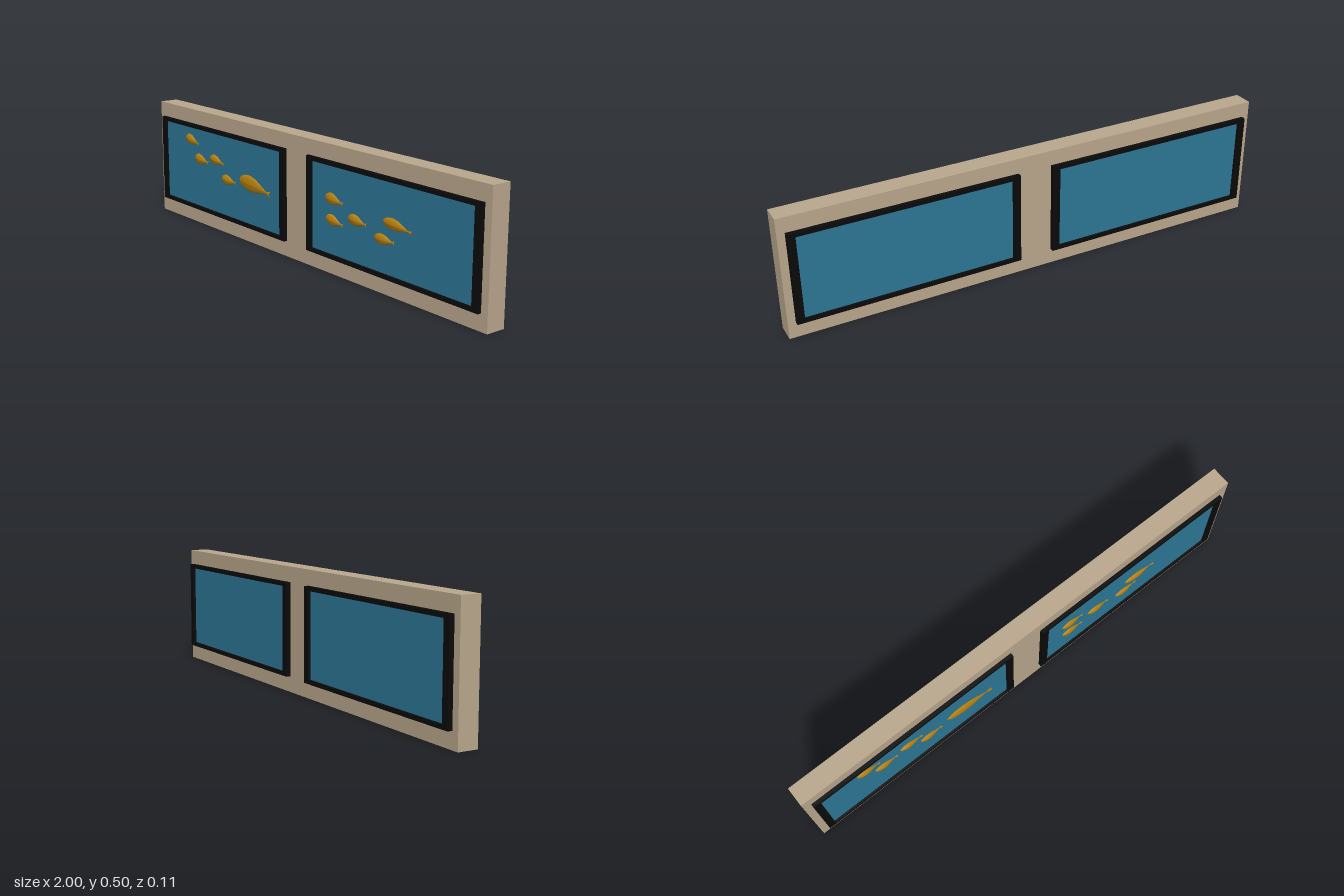
import * as THREE from 'three';

const material = (name, color, flatShading = false) => {
  const m = new THREE.MeshStandardMaterial({ color, flatShading });
  m.name = name;
  return m;
};

export function createModel() {
  const model = new THREE.Group();
  model.name = 'aquariumWall';
  const stone = material('stone', 0xbaa78d);
  const black = material('frameBlack', 0x0a0a0a);
  const water = material('waterBlue', 0x2d7796);
  const gold = material('fishGold', 0xb8820f);

  const add = (name, geometry, mat, x, y, z) => {
    const mesh = new THREE.Mesh(geometry, mat);
    mesh.name = name;
    mesh.position.set(x, y, z);
    model.add(mesh);
    return mesh;
  };

  // Wall slab
  add('wall', new THREE.BoxGeometry(2, 0.495, 0.079), stone, 0, 0.2475, 0.0015);

  // Rectangular border with an open middle
  const W = 0.9, H = 0.371, B = 0.03, V = 0.016;
  const rect = (path, w, h) => path.moveTo(-w / 2, -h / 2).lineTo(w / 2, -h / 2)
    .lineTo(w / 2, h / 2).lineTo(-w / 2, h / 2).closePath();
  const outline = rect(new THREE.Shape(), W, H);
  outline.holes.push(rect(new THREE.Path(), W - 2 * B, H - 2 * V));
  const frame = (depth) => new THREE.ExtrudeGeometry(outline, { depth, bevelEnabled: false });

  // Two tanks, each with a frame and pane on the front and the back
  for (const side of [-1, 1]) {
    const x = side * 0.52, y = 0.2485;
    const label = side > 0 ? 'left' : 'right';
    add(label + 'FrontFrame', frame(0.015), black, x, y, 0.041);
    add(label + 'BackFrame', frame(0.019), black, x, y, -0.057);
    const pane = new THREE.BoxGeometry(W - 2 * B, H - 2 * V, 0.009);
    add(label + 'FrontPane', pane, water, x, y, 0.0425);
    add(label + 'BackPane', pane, water, x, y, -0.0425);
  }

  // Fish: a lathed body, flattened in z, with a drooping tail
  const profile = [[0, 0], [0.55, 0.07], [0.87, 0.2], [1, 0.36], [0.86, 0.53],
    [0.5, 0.7], [0.17, 0.86], [0.2, 0.9], [0.48, 0.99], [0, 0.96]]
    .map(([r, t]) => new THREE.Vector2(r, t));
  const fishGeometry = (length, height, droop) => {
    const g = new THREE.LatheGeometry(profile, 12);
    g.rotateZ(-Math.PI / 2);
    g.scale(length, height / 2, 0.0115);
    const p = g.attributes.position;
    for (let i = 0; i < p.count; i++) {
      const t = p.getX(i) / length;
      p.setY(i, p.getY(i) - droop * t * t);
    }
    g.computeVertexNormals();
    return g;
  };

  // Nose x, body y, length, height, tail droop
  const school = [
    [-0.787, 0.366, 0.1, 0.046, 0.018],
    [-0.717, 0.289, 0.103, 0.046, 0.01],
    [-0.6, 0.307, 0.102, 0.042, 0.014],
    [-0.513, 0.235, 0.102, 0.044, 0.006],
    [-0.386, 0.253, 0.215, 0.068, 0.028],
    [0.176, 0.294, 0.103, 0.046, 0.012],
    [0.18, 0.214, 0.1, 0.044, 0.014],
    [0.308, 0.241, 0.103, 0.044, 0.01],
    [0.496, 0.271, 0.15, 0.044, 0.016],
    [0.453, 0.203, 0.107, 0.042, 0.003],
  ];
  school.forEach(([x, y, length, height, droop], i) =>
    add('fish' + (i + 1), fishGeometry(length, height, droop), gold, x, y, 0.0465));

  return model;
}
